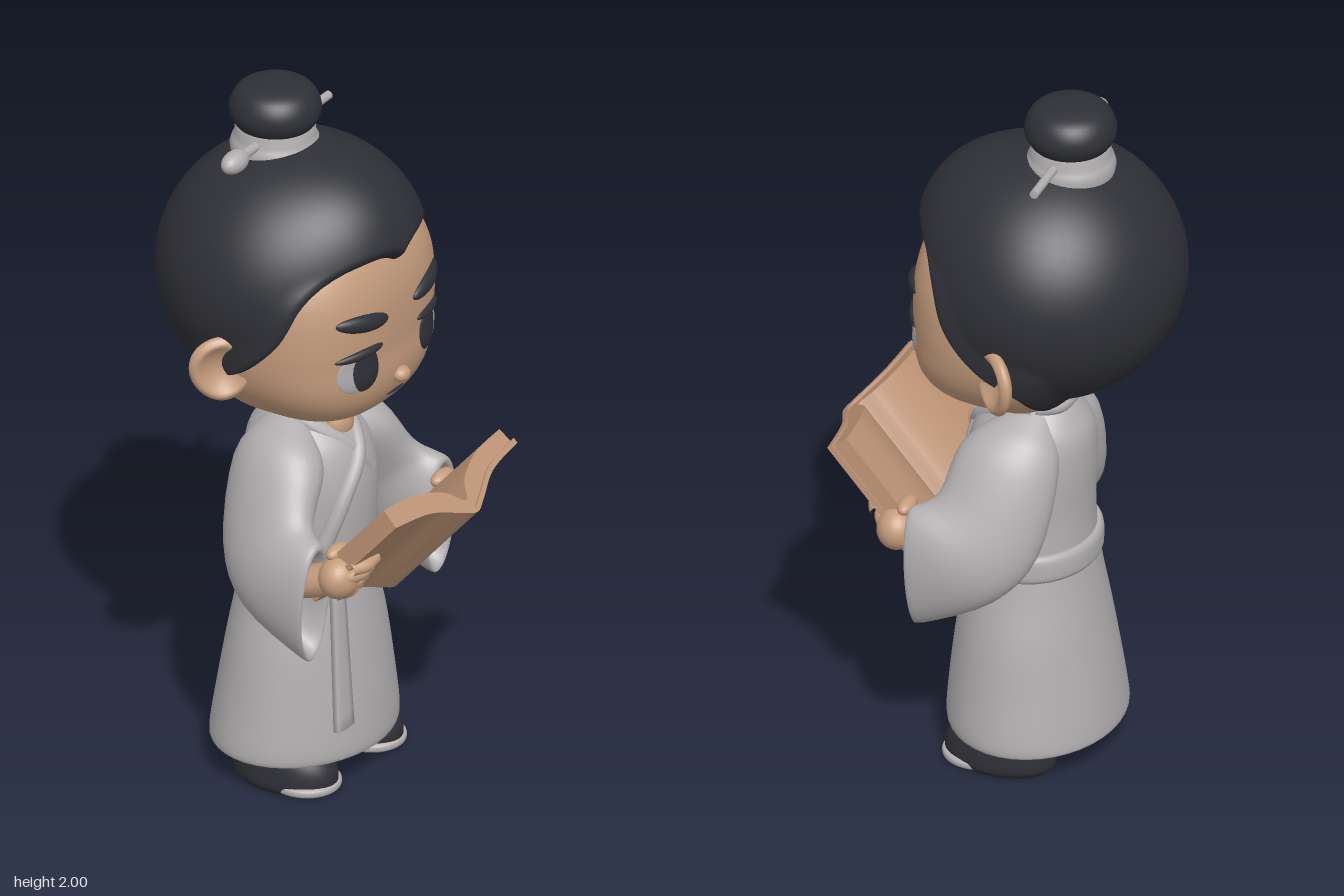
import * as THREE from 'three';
import { mergeVertices } from 'three/addons/utils/BufferGeometryUtils.js';

const V = (x, y, z) => new THREE.Vector3(x, y, z);
const mat = (name, color) => Object.assign(new THREE.MeshStandardMaterial({ color }), { name });

// Weld seams and smooth the normals
function smooth(g) {
  g.deleteAttribute('uv');
  g.deleteAttribute('normal');
  const m = mergeVertices(g, 1e-5);
  m.computeVertexNormals();
  return m;
}

// Move every vertex of a geometry by a rule
function warp(g, rule) {
  const p = g.attributes.position, v = V(0, 0, 0);
  for (let i = 0; i < p.count; i++) {
    rule(v.fromBufferAttribute(p, i));
    p.setXYZ(i, v.x, v.y, v.z);
  }
  return smooth(g);
}

// Skin over a grid of points: rows x cols, columns closed
function skin(rows) {
  const n = rows[0].length, idx = [];
  for (let i = 0; i < rows.length - 1; i++) for (let j = 0; j < n; j++) {
    const k = (j + 1) % n, a = i * n + j, b = a + n, c = i * n + k, d = c + n;
    idx.push(a, b, c, c, b, d);
  }
  const g = new THREE.BufferGeometry();
  g.setAttribute('position', new THREE.Float32BufferAttribute(rows.flat().flatMap(p => p.toArray()), 3));
  g.setIndex(idx);
  g.computeVertexNormals();
  return g;
}

// Loft through elliptical sections [centre, u, v], smoothly interpolated and capped
function loft(sections, sides = 40, steps = 4) {
  const curves = [0, 1, 2].map(k => new THREE.CatmullRomCurve3(sections.map(s => s[k]), false, 'catmullrom', 0.5));
  const N = (sections.length - 1) * steps, rows = [];
  for (let i = 0; i <= N; i++) {
    const [c, u, v] = curves.map(q => q.getPoint(i / N));
    const ring = s => Array.from({ length: sides }, (_, j) => {
      const a = j / sides * Math.PI * 2;
      return c.clone().addScaledVector(u, s * Math.cos(a)).addScaledVector(v, s * Math.sin(a));
    });
    if (i === 0) rows.push(ring(0.001), ring(0.97));
    rows.push(ring(1));
    if (i === N) rows.push(ring(0.97), ring(0.001));
  }
  return skin(rows);
}
// Upright loft from rows [y, half width, back z, front z]
const upright = (rows, x = 0, steps = 4) =>
  loft(rows.map(([y, w, b, f]) => [V(x, y, (b + f) / 2), V(w, 0, 0), V(0, 0, (f - b) / 2)]), 40, steps);

// Rounded face volume: below 1 is inside
const FACE = V(0, 1.4, -0.1), HAIR = V(0, 1.48, -0.12);
const chinPush = y => 0.05 * THREE.MathUtils.clamp((1.32 - y) / 0.2, 0, 1);
function faceField(p) {
  const z = p.z - FACE.z - chinPush(p.y);
  return Math.abs(p.x / 0.345) ** 2.5 + Math.abs((p.y - FACE.y) / 0.31) ** 2.5 + Math.abs(z / (z > 0 ? 0.33 : 0.2)) ** 3;
}
function faceRadius(from, dir) {
  let lo = 0, hi = 0.7;
  for (let i = 0; i < 24; i++) {
    const m = (lo + hi) / 2;
    if (faceField(from.clone().addScaledVector(dir, m)) < 1) lo = m; else hi = m;
  }
  return lo;
}
const faceZ = (x, y) => FACE.z + chinPush(y) + 0.33 *
  Math.cbrt(Math.max(0, 1 - Math.abs(x / 0.345) ** 2.5 - Math.abs((y - FACE.y) / 0.31) ** 2.5));

// Thin domed oval lying on the face
function onFace(x, y, rx, ry, tilt, depth) {
  const c = Math.cos(tilt), s = Math.sin(tilt);
  return warp(new THREE.SphereGeometry(1, 28, 16), v => {
    const a = v.x * rx, b = v.y * ry, px = x + a * c - b * s, py = y + a * s + b * c;
    v.set(px, py, faceZ(px, py) + v.z * depth);
  });
}

// Hair shell from the hairline back to the rear pole
function hairGeometry() {
  const line = new THREE.CatmullRomCurve3([
    [0, 0.27], [0.4, 0.36], [0.8, 0.5], [1.39, 0.88], [1.76, 1.06], [2.02, 1.33], [2.2, 1.6], [2.57, 1.7], [Math.PI, 1.78],
  ].map(([a, t]) => V(a, t, 0))).getPoints(48);
  const ring = [...line, ...line.slice(1, -1).reverse().map(p => V(2 * Math.PI - p.x, p.y, 0))];
  const quiff = V(0, 0.63, 0.77), rows = [];
  for (let i = 0; i <= 40; i++) rows.push(ring.map(({ x: a, y: t0 }) => {
    const t = t0 + (Math.PI - 0.001 - t0) * (i / 40) ** 1.5;
    const d = V(Math.sin(a) * Math.sin(t), Math.cos(a) * Math.sin(t), Math.cos(t));
    const face = faceRadius(HAIR, d);
    const ball = 1 / Math.hypot(d.x / 0.375, d.y / 0.355, d.z / 0.36);
    const r = Math.max(ball * (1 + 0.12 * Math.max(0, d.dot(quiff)) ** 6), face + 0.012);
    const edge = Math.sqrt(Math.min(1, (t - t0) / 0.07));
    return HAIR.clone().addScaledVector(d, face - 0.01 + (r - face + 0.01) * edge);
  }));
  return skin(rows.reverse());
}

export function createModel() {
  const grey = mat('greyCloth', 0xb2aeb0), skinTone = mat('skin', 0xc59c7d);
  const dark = mat('charcoal', 0x2f3036), tan = mat('bookTan', 0xbd9375);
  const model = new THREE.Group(), figure = new THREE.Group();
  model.name = 'scholar';
  figure.name = 'figure';
  figure.rotation.y = Math.PI / 2; // the figure looks along +x
  model.add(figure);
  const add = (name, g, m, parent = figure) => {
    const mesh = new THREE.Mesh(g, m);
    mesh.name = name;
    parent.add(mesh);
    return mesh;
  };
  const ball = (rx, ry, rz, x, y, z) => new THREE.SphereGeometry(1, 24, 16).scale(rx, ry, rz).translate(x, y, z);
  const tube = (pts, r) => new THREE.TubeGeometry(new THREE.CatmullRomCurve3(pts), 32, r, 10);

  // Head
  add('face', warp(new THREE.SphereGeometry(1, 64, 48), v => {
    const d = v.clone().normalize();
    v.copy(FACE).addScaledVector(d, faceRadius(FACE, d));
  }), skinTone);
  add('nose', ball(0.028, 0.022, 0.024, 0, 1.235, faceZ(0, 1.235) + 0.004), skinTone);
  add('mouth', onFace(0, 1.182, 0.04, 0.005, 0, 0.006), dark);
  add('hair', hairGeometry(), dark);

  // Topknot with band and pin
  const knot = [[0.09, 1.86], [0.112, 1.885], [0.124, 1.915], [0.118, 1.95], [0.095, 1.98], [0.05, 1.996], [0, 2]];
  const lathe = pts => new THREE.LatheGeometry(pts.map(p => new THREE.Vector2(...p)), 40).translate(0, 0, -0.172);
  const bun = lathe(new THREE.SplineCurve(knot.map(p => new THREE.Vector2(...p))).getPoints(24).map(p => [Math.max(0, p.x), p.y]));
  add('topknot', bun, dark);
  add('topknotBand', lathe([[0.118, 1.79], [0.122, 1.815], [0.116, 1.835], [0.108, 1.845], [0.108, 1.87], [0.1, 1.882], [0, 1.882]]), grey);
  add('hairpin', new THREE.CylinderGeometry(0.012, 0.014, 0.46, 14).rotateZ(-Math.PI / 2).translate(0.015, 1.848, -0.165), grey);
  add('hairpinKnob', ball(0.05, 0.031, 0.031, -0.21, 1.85, -0.16), grey);

  // Neck and robe
  add('neck', upright([[0.98, 0.08, -0.17, 0.02], [1.06, 0.07, -0.16, 0], [1.16, 0.07, -0.16, 0]]), skinTone);
  add('chest', ball(0.05, 0.055, 0.04, 0, 1.03, 0.028), skinTone);
  add('robeTop', upright([
    [0.6, 0.19, -0.235, 0.1], [0.75, 0.185, -0.23, 0.115], [0.88, 0.185, -0.235, 0.115],
    [0.98, 0.165, -0.23, 0.09], [1.04, 0.12, -0.2, 0.04], [1.085, 0.07, -0.165, -0.01],
  ]), grey);
  const skirt = [
    [0.17, 0.26, -0.27, 0.13], [0.115, 0.272, -0.295, 0.142], [0.095, 0.285, -0.312, 0.152], [0.13, 0.288, -0.312, 0.157],
    [0.25, 0.268, -0.295, 0.148], [0.4, 0.243, -0.27, 0.13], [0.52, 0.213, -0.25, 0.113], [0.62, 0.192, -0.236, 0.1],
  ];
  add('skirt', upright(skirt), grey);
  add('belt', upright([[0.59, 0.2, -0.243, 0.108], [0.605, 0.207, -0.25, 0.116], [0.65, 0.205, -0.25, 0.116], [0.668, 0.197, -0.242, 0.108]]), grey);
  const sash = new THREE.BoxGeometry(0.07, 0.4, 0.016, 4, 10, 1);
  add('sash', warp(sash, v => {
    const k = 0.5 - v.y / 0.4;
    v.set(v.x * (0.75 + 0.35 * k) - 0.105 - 0.03 * k, v.y + 0.4, v.z + 0.1 + 0.042 * k - Math.abs(v.x) * 0.1);
  }), grey);
  add('outerLapel', tube([V(0.085, 1.075, -0.1), V(0.07, 1.04, -0.005), V(0, 0.96, 0.09), V(-0.08, 0.85, 0.098), V(-0.14, 0.68, 0.055)], 0.024), grey);
  add('innerLapel', tube([V(-0.085, 1.075, -0.1), V(-0.07, 1.04, -0.005), V(0, 0.96, 0.08), V(0.05, 0.89, 0.09)], 0.024), grey);
  add('backCollar', tube([V(-0.085, 1.075, -0.1), V(-0.05, 1.08, -0.16), V(0.05, 1.08, -0.16), V(0.085, 1.075, -0.1)], 0.022), grey);

  // Mirrored parts
  for (const [side, s] of [['left', 1], ['right', -1]]) {
    const half = new THREE.Group();
    half.name = side + 'Side';
    half.scale.x = s;
    figure.add(half);
    const put = (name, g, m) => add(side + name, g, m, half);

    put('EyeWhite', onFace(0.172, 1.303, 0.06, 0.058, 0, 0.006), grey);
    put('Iris', onFace(0.148, 1.305, 0.05, 0.062, 0, 0.011), dark);
    put('UpperLash', onFace(0.16, 1.357, 0.078, 0.014, -0.06, 0.014), dark);
    put('Brow', onFace(0.148, 1.447, 0.088, 0.025, 0.16, 0.02), dark);

    // Ear: dished disc turned outwards
    const ear = warp(new THREE.SphereGeometry(1, 32, 24), v => {
      const r2 = v.x * v.x + v.y * v.y;
      v.set(v.x * 0.088 * (1 + 0.1 * v.y), v.y * 0.095, v.z * 0.032 - (v.z > 0 ? 0.045 * Math.max(0, 1 - r2 * 1.6) : 0));
    });
    put('Ear', ear.rotateZ(-0.15).rotateY(0.8).translate(0.362, 1.312, -0.1), skinTone);

    // Wide sleeve with hollow cuff
    put('Sleeve', loft([
      [V(0.07, 1.035, -0.08), V(-0.03, -0.035, 0), V(0, 0, 0.07)],
      [V(0.15, 0.95, -0.06), V(-0.075, -0.05, 0), V(0, 0.02, 0.135)],
      [V(0.235, 0.79, -0.035), V(-0.085, -0.025, 0), V(0, 0.08, 0.135)],
      [V(0.285, 0.712, 0.03), V(-0.085, 0, 0), V(0, 0.13, 0.1)],
      [V(0.3, 0.655, 0.145), V(-0.074, 0, 0), V(0, 0.174, 0.018)],
      [V(0.3, 0.655, 0.146), V(-0.055, 0, 0), V(0, 0.15, 0.016)],
      [V(0.295, 0.67, 0.06), V(-0.045, 0, 0), V(0, 0.1, 0.04)],
    ]), grey);

    // Hand holding the book
    put('Wrist', tube([V(0.295, 0.69, 0.07), V(0.285, 0.71, 0.14), V(0.27, 0.735, 0.2)], 0.045), skinTone);
    put('Palm', ball(0.062, 0.06, 0.055, 0.272, 0.738, 0.215), skinTone);
    for (let i = 0; i < 4; i++) {
      const y = 0.692 + i * 0.03, z = 0.212 + i * 0.018;
      put('Finger' + (i + 1), tube([V(0.29, y, z), V(0.25, y + 0.003, z + 0.022), V(0.215, y + 0.005, z + 0.018)], 0.018), skinTone);
      put('Fingertip' + (i + 1), ball(0.024, 0.018, 0.018, 0.213, y + 0.005, z + 0.018), skinTone);
    }
    put('Thumb', ball(0.045, 0.022, 0.024, 0.25, 0.8, 0.195), skinTone);

    // Shoe with a pale toe welt
    put('Shoe', upright([
      [0.005, 0.09, -0.175, 0.105], [0.025, 0.1, -0.19, 0.12], [0.07, 0.098, -0.188, 0.115],
      [0.11, 0.09, -0.182, 0.085], [0.15, 0.07, -0.17, 0.02],
    ], 0.155), dark);
    put('ToeWelt', upright([[0.008, 0.085, -0.06, 0.118], [0.015, 0.094, -0.07, 0.126], [0.028, 0.094, -0.07, 0.126], [0.034, 0.085, -0.06, 0.118]], 0.155), grey);
  }

  // Open book: gull-wing slabs extruded along the spine
  const book = new THREE.Group();
  book.name = 'book';
  book.position.set(0, 0.59, 0.215);
  book.rotation.x = -0.857;
  figure.add(book);
  const slab = (lower, upper, length, start) => {
    const wing = pts => new THREE.SplineCurve([...pts.slice(1).reverse().map(([x, y]) => [-x, y]), ...pts]
      .map(p => new THREE.Vector2(...p))).getPoints(40);
    const shape = new THREE.Shape([...wing(lower), ...wing(upper).reverse()]);
    return new THREE.ExtrudeGeometry(shape, { depth: length, bevelEnabled: false }).translate(0, 0, start);
  };
  add('cover', slab([[0, 0], [0.05, 0.02], [0.15, 0.068], [0.29, 0.09]], [[0, 0.016], [0.05, 0.036], [0.15, 0.084], [0.288, 0.106]], 0.4, 0), tan, book);
  add('pages', slab([[0, 0.014], [0.05, 0.034], [0.15, 0.082], [0.28, 0.104]], [[0, 0.045], [0.05, 0.095], [0.15, 0.135], [0.276, 0.148]], 0.385, 0.007), tan, book);
  return model;
}
